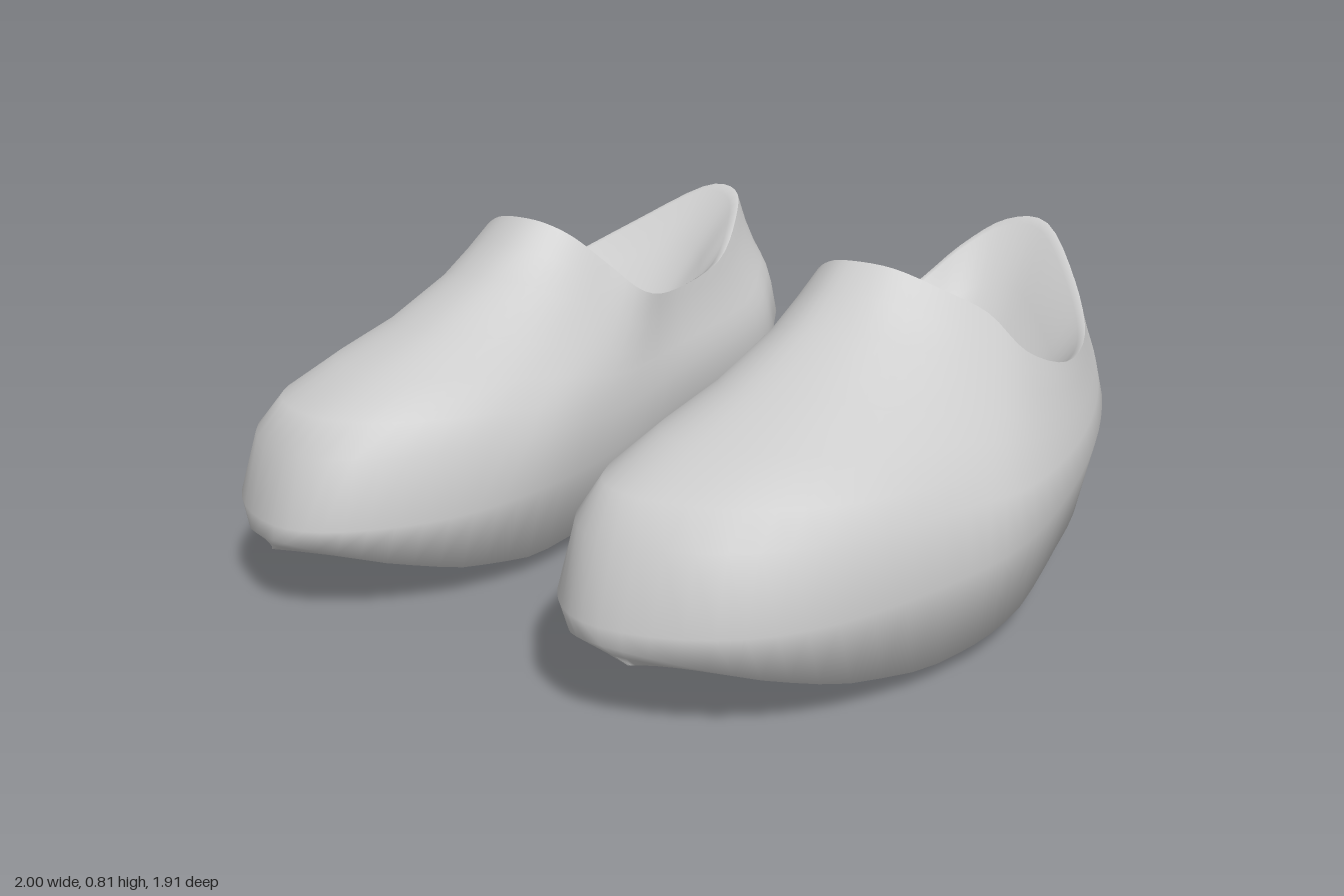
import * as THREE from 'three';

const N = 68; // points around each ring
const { lerp, clamp } = THREE.MathUtils;

// Closed smooth loop through [x, y, z] points, toe -> outer side -> heel -> inner side
function loop(points) {
  const curve = new THREE.CatmullRomCurve3(points.map(p => new THREE.Vector3(...p)), true, 'catmullrom', 0.5);
  return Array.from({ length: N }, (_, i) => curve.getPoint(i / N));
}

// Widest outline of the shoe
const wide = loop([
  [0.48, 0.22, 0.955], [0.7, 0.22, 0.87], [0.86, 0.23, 0.68], [0.97, 0.25, 0.36],
  [1.0, 0.27, 0.1], [0.94, 0.3, -0.28], [0.86, 0.35, -0.57], [0.75, 0.4, -0.79],
  [0.58, 0.43, -0.945], [0.38, 0.42, -0.925], [0.3, 0.4, -0.83], [0.255, 0.35, -0.7],
  [0.22, 0.3, -0.3], [0.17, 0.24, 0.1], [0.14, 0.23, 0.42], [0.19, 0.22, 0.68], [0.32, 0.22, 0.89]]);

// Rim of the foot opening, high at throat and heel
const rim = loop([
  [0.5, 0.81, 0.07], [0.6, 0.8, 0.05], [0.7, 0.755, 0], [0.78, 0.7, -0.07],
  [0.85, 0.61, -0.13], [0.875, 0.555, -0.3], [0.84, 0.58, -0.48], [0.73, 0.67, -0.66],
  [0.57, 0.78, -0.83], [0.45, 0.78, -0.83], [0.37, 0.715, -0.72], [0.31, 0.62, -0.55],
  [0.275, 0.585, -0.3], [0.25, 0.61, -0.13], [0.31, 0.69, -0.05], [0.37, 0.76, 0.01], [0.43, 0.797, 0.05]]);

// Height of the sole edge along z: raised toe, low ball, arch, heel
const soleProfile = [[-0.92, 0.155], [-0.8, 0.1], [-0.7, 0.085], [-0.5, 0.105], [-0.3, 0.1],
  [0, 0.055], [0.4, 0.04], [0.63, 0.075], [0.8, 0.125], [0.96, 0.185]];
function soleY(z) {
  let k = 1;
  while (k < soleProfile.length - 1 && soleProfile[k][0] < z) k++;
  const [z0, y0] = soleProfile[k - 1], [z1, y1] = soleProfile[k];
  return lerp(y0, y1, clamp((z - z0) / (z1 - z0), 0, 1));
}

function shellRings() {
  // Sole: spine, middle and edge
  const rings = [0, 0.5, 1].map(s => wide.map(p => {
    const z = p.z < 0 ? p.z * 0.95 : p.z;
    return new THREE.Vector3(lerp(0.53, 0.53 + (p.x - 0.53) * 0.87, s), soleY(z) - 0.04 * (1 - s), z * (0.97 + 0.03 * s));
  }));
  rings.push(wide);

  // Upper: straight on the outer side, rounder on the inner side, bulging over the toe
  for (const [a, b] of [[0.055, 0.27], [0.145, 0.39], [0.34, 0.5], [0.57, 0.61], [0.81, 0.78], [0.92, 0.9]]) {
    rings.push(wide.map((p, i) => {
      const bulge = Math.max(clamp(0.4 - (p.x - 0.55) * 0.8, 0.1, 0.6), Math.min(1, p.z / 0.9));
      const h = lerp(b, a, bulge), r = rim[i];
      return new THREE.Vector3(lerp(p.x, r.x, h), lerp(p.y, r.y, b), lerp(p.z, r.z, h));
    }));
  }
  rings.push(rim);
  return rings;
}

// Hollow for the foot: a bowl narrowing to a valley running across the shoe
function liningRings() {
  return [[0, 0], [0.07, 0.04], [0.3, 0.4], [0.55, 0.74], [0.8, 0.94], [1, 1]].map(([a, b]) =>
    rim.map(r => new THREE.Vector3(lerp(r.x, 0.56, a * 0.6), lerp(r.y, 0.4, b), lerp(r.z, -0.27, a))));
}

// Skin the rings; side = 1 for left, -1 for the mirrored right shoe
function skin(rings, side, name) {
  const positions = [], index = [];
  for (const ring of rings) for (const p of ring) positions.push(p.x * side, p.y, p.z);
  for (let j = 0; j < rings.length - 1; j++) {
    for (let i = 0; i < N; i++) {
      const a = j * N + i, b = j * N + (i + 1) % N, c = a + N, d = b + N;
      if (side > 0) index.push(a, b, c, b, d, c);
      else index.push(a, c, b, b, c, d);
    }
  }
  const geometry = new THREE.BufferGeometry();
  geometry.setAttribute('position', new THREE.Float32BufferAttribute(positions, 3));
  geometry.setIndex(index);
  geometry.computeVertexNormals();
  const mesh = new THREE.Mesh(geometry, new THREE.MeshStandardMaterial({ color: 0xcccccc }));
  mesh.name = name;
  return mesh;
}

export function createModel() {
  const group = new THREE.Group();
  group.name = 'clogs';
  for (const [side, name] of [[1, 'leftShoe'], [-1, 'rightShoe']]) {
    const shoe = new THREE.Group();
    shoe.name = name;
    shoe.add(skin(shellRings(), side, 'shell'), skin(liningRings(), side, 'lining'));
    group.add(shoe);
  }
  return group;
}
